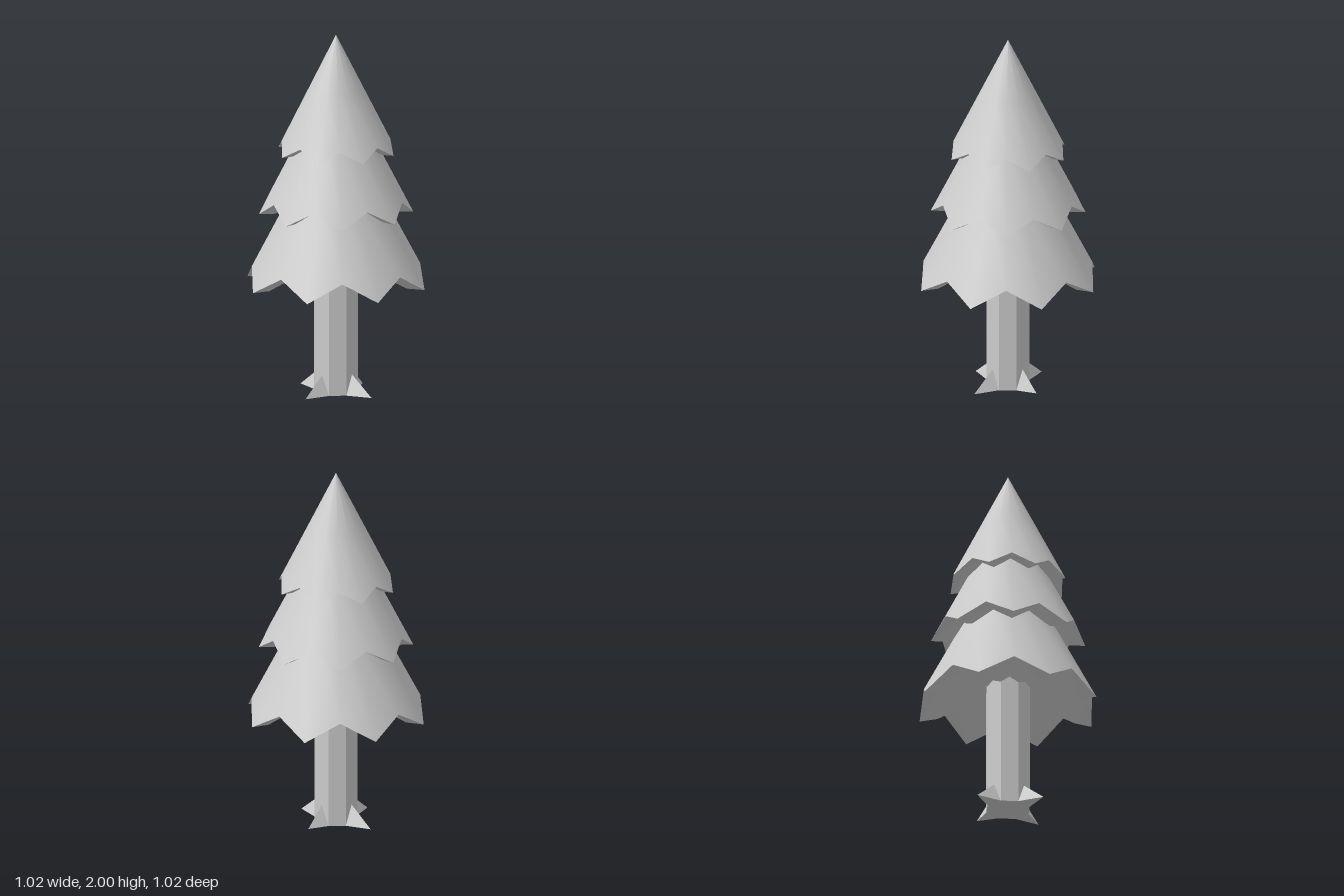
import * as THREE from 'three';

const SIDES = 16; // eight tips and eight notches

// Geometry from points [x, y, z] and triangles of point indices
function build(points, faces) {
  const g = new THREE.BufferGeometry();
  g.setAttribute('position', new THREE.Float32BufferAttribute(points.flat(), 3));
  g.setIndex(faces.flat());
  return g;
}

const polar = (r, y, a) => [r * Math.sin(a), y, r * Math.cos(a)];

// One layer of foliage: smooth cone with a zigzag hem and a faceted hollow underside
function makeTier({ name, apexY, tip, notch, hollowY, turn }) {
  const rim = (i, s) => {
    const [r, y] = i % 2 ? notch : tip;
    return polar(r * s, y, turn + (i / SIDES) * Math.PI * 2);
  };

  // Outer cone: rings from apex to hem
  const rings = [0, 0.5, 1];
  const skin = [], skinFaces = [];
  rings.forEach((t, k) => {
    for (let i = 0; i < SIDES; i++) {
      const [x, y, z] = rim(i, 1);
      skin.push([x * t, apexY + (y - apexY) * t, z * t]);
      if (k === 0) continue;
      const j = (i + 1) % SIDES, up = (k - 1) * SIDES, low = k * SIDES;
      skinFaces.push([up + i, low + i, low + j]);
      if (k > 1) skinFaces.push([up + i, low + j, up + j]);
    }
  });
  const skinGeometry = build(skin, skinFaces);
  skinGeometry.computeVertexNormals();

  // Underside: level rim band, then facets rising to the middle
  const under = [], underFaces = [];
  for (let i = 0; i < SIDES; i++) under.push(rim(i, 1));
  for (let i = 0; i < SIDES; i++) under.push(rim(i, 0.8));
  under.push([0, hollowY, 0]);
  for (let i = 0; i < SIDES; i++) {
    const j = (i + 1) % SIDES;
    underFaces.push([i, SIDES + i, SIDES + j], [i, SIDES + j, j], [SIDES + i, 2 * SIDES, SIDES + j]);
  }
  const underGeometry = build(under, underFaces).toNonIndexed();
  underGeometry.computeVertexNormals();

  const tier = new THREE.Group();
  tier.name = name;
  const outer = new THREE.Mesh(skinGeometry, new THREE.MeshStandardMaterial({ color: 0xcccccc }));
  outer.name = 'foliage';
  const inner = new THREE.Mesh(underGeometry, new THREE.MeshStandardMaterial({ color: 0xcccccc, flatShading: true }));
  inner.name = 'underside';
  tier.add(outer, inner);
  return tier;
}

export function createModel() {
  const tree = new THREE.Group();
  tree.name = 'pineTree';

  // Foliage layers; tip and notch are [radius, height]
  const tiers = [
    { name: 'lowerTier', apexY: 1.58, tip: [0.508, 0.605], notch: [0.46, 0.71], hollowY: 0.765, turn: 0 },
    { name: 'middleTier', apexY: 1.82, tip: [0.422, 1.0], notch: [0.38, 1.085], hollowY: 1.13, turn: Math.PI / 8 },
    { name: 'upperTier', apexY: 2, tip: [0.33, 1.345], notch: [0.297, 1.41], hollowY: 1.45, turn: 0 },
  ];
  tiers.forEach((t) => tree.add(makeTier(t)));

  // Octagonal trunk
  const bark = new THREE.MeshStandardMaterial({ color: 0xcccccc, flatShading: true });
  const radius = 0.125, trunkTop = 0.8;
  const trunk = new THREE.Mesh(new THREE.CylinderGeometry(radius, radius, trunkTop, 8), bark);
  trunk.position.y = trunkTop / 2;
  trunk.name = 'trunk';
  tree.add(trunk);

  // Four pointed roots, one on every second trunk face
  const half = Math.PI / 8;
  const flat = radius * Math.cos(half);
  for (let k = 0; k < 4; k++) {
    const reach = k === 1 ? 0.225 : 0.255;
    const points = [polar(flat, 0.11, 0), polar(radius, 0, -half), polar(reach, 0, 0), polar(radius, 0, half)];
    const geometry = build(points, [[0, 1, 2], [0, 2, 3], [1, 3, 2]]).toNonIndexed();
    geometry.computeVertexNormals();
    const root = new THREE.Mesh(geometry, bark);
    root.rotation.y = half + (k * Math.PI) / 2;
    root.name = 'root';
    tree.add(root);
  }
  return tree;
}
